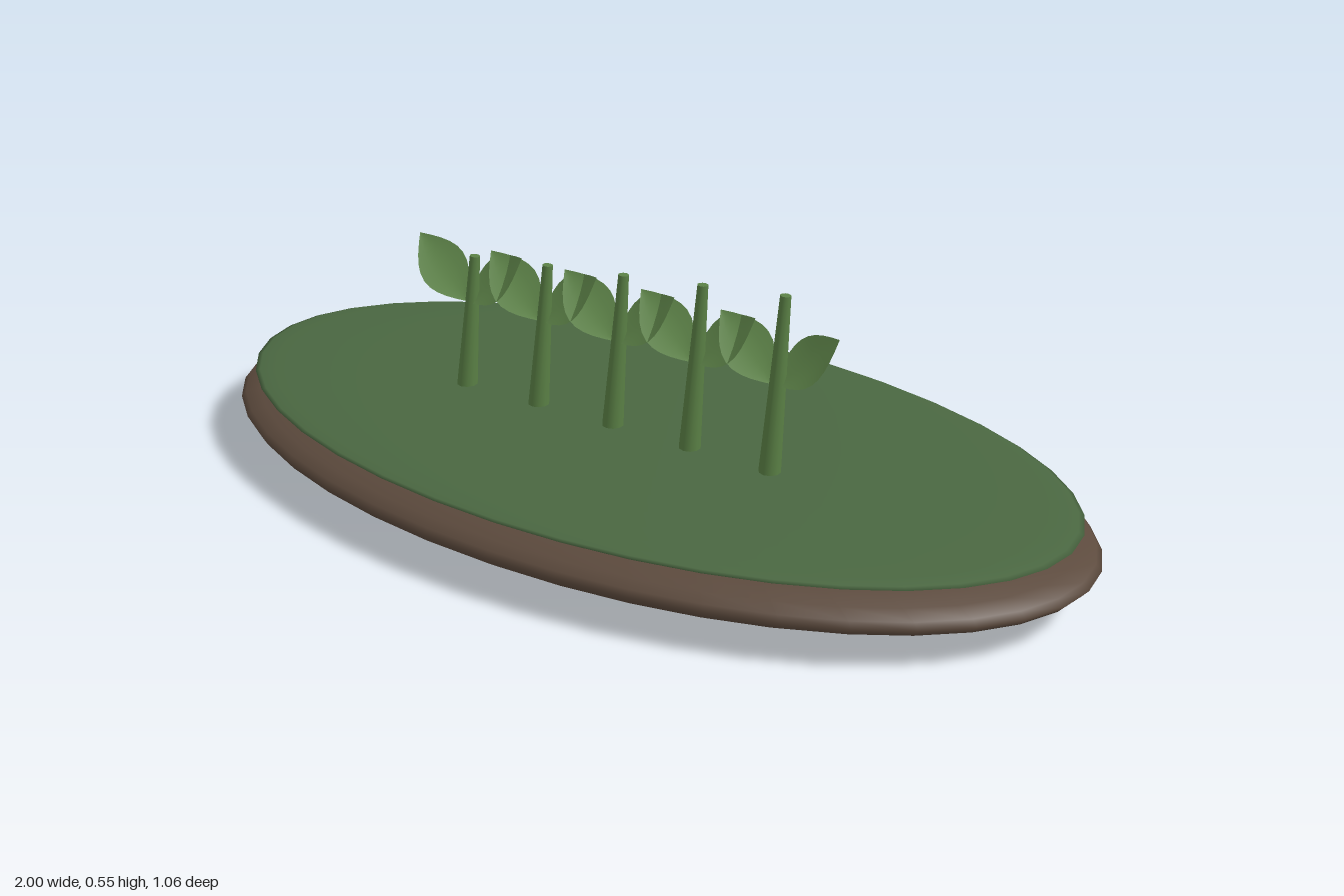
import * as THREE from 'three';

const soil = new THREE.MeshStandardMaterial({ name: 'soil brown', color: 0x5c4a3d });
const grass = new THREE.MeshStandardMaterial({ name: 'grass green', color: 0x4a6741 });
const stemGreen = new THREE.MeshStandardMaterial({ name: 'stem green', color: 0x5a8045 });
const leafGreen = new THREE.MeshStandardMaterial({ name: 'leaf green', color: 0x648c4e, side: THREE.DoubleSide });

function add(parent, name, geometry, material) {
  const mesh = new THREE.Mesh(geometry, material);
  mesh.name = name;
  parent.add(mesh);
  return mesh;
}

// Flattened ball used for the mound layers
function disc(parent, name, rx, ry, rz, y, material) {
  const mesh = add(parent, name, new THREE.SphereGeometry(1, 40, 20), material);
  mesh.scale.set(rx, ry, rz);
  mesh.position.y = y;
}

// Tapered stem between two points
function stem(parent, from, to) {
  const dir = to.clone().sub(from);
  const mesh = add(parent, 'stem', new THREE.CylinderGeometry(0.011, 0.023, dir.length(), 10), stemGreen);
  mesh.position.copy(from).add(to).multiplyScalar(0.5);
  mesh.quaternion.setFromUnitVectors(new THREE.Vector3(0, 1, 0), dir.normalize());
}

// Pointed leaf: cross-sections from base to tip, slightly cupped along the midrib
function leafGeometry(side) {
  const rows = 10, cols = 4, pos = [], index = [];
  const across = new THREE.Vector3(0.03, -0.03, 0.029);
  const cup = new THREE.Vector3(0.4, -0.4, -0.82);
  for (let i = 0; i <= rows; i++) {
    const t = i / rows, w = Math.sin(Math.PI * t);
    for (let j = 0; j <= cols; j++) {
      const s = (j / cols) * 2 - 1;
      const p = new THREE.Vector3(0.133 * t, 0.12 * t, 0.054 - 0.016 * t)
        .addScaledVector(across, s * w)
        .addScaledVector(cup, 0.006 * w * (1 - s * s));
      pos.push(side * p.x, p.y, p.z);
      if (i < rows && j < cols) {
        const a = i * (cols + 1) + j, b = a + cols + 1;
        if (side > 0) index.push(a, a + 1, b, a + 1, b + 1, b);
        else index.push(a, b, a + 1, a + 1, b, b + 1);
      }
    }
  }
  const g = new THREE.BufferGeometry();
  g.setAttribute('position', new THREE.Float32BufferAttribute(pos, 3));
  // Winding faces the upper, front side of the leaf
  g.setIndex(index.reverse());
  g.computeVertexNormals();
  if (g.attributes.normal.getZ(Math.floor(rows / 2) * (cols + 1) + 2) < 0) {
    g.setIndex(index.reverse());
    g.computeVertexNormals();
  }
  return g;
}

export function createModel() {
  const model = new THREE.Group();
  model.name = 'sproutBed';

  // Mound
  disc(model, 'soilBase', 1, 0.088, 0.528, 0.088, soil);
  disc(model, 'grassTop', 0.96, 0.026, 0.503, 0.154, grass);

  // Row of five sprouts, each a little taller than the last
  const rightLeaf = leafGeometry(-1), leftLeaf = leafGeometry(1);
  for (let i = 0; i < 5; i++) {
    const x = -0.406 + 0.187 * i;
    const sprout = new THREE.Group();
    sprout.name = 'sprout';
    sprout.position.x = x;
    stem(sprout, new THREE.Vector3(0, 0.165, 0.063), new THREE.Vector3(0.016, 0.462 + 0.021 * i, 0.044));
    for (const [name, g] of [['rightLeaf', rightLeaf], ['leftLeaf', leftLeaf]]) {
      add(sprout, name, g, leafGreen).position.y = 0.36;
    }
    model.add(sprout);
  }
  return model;
}
